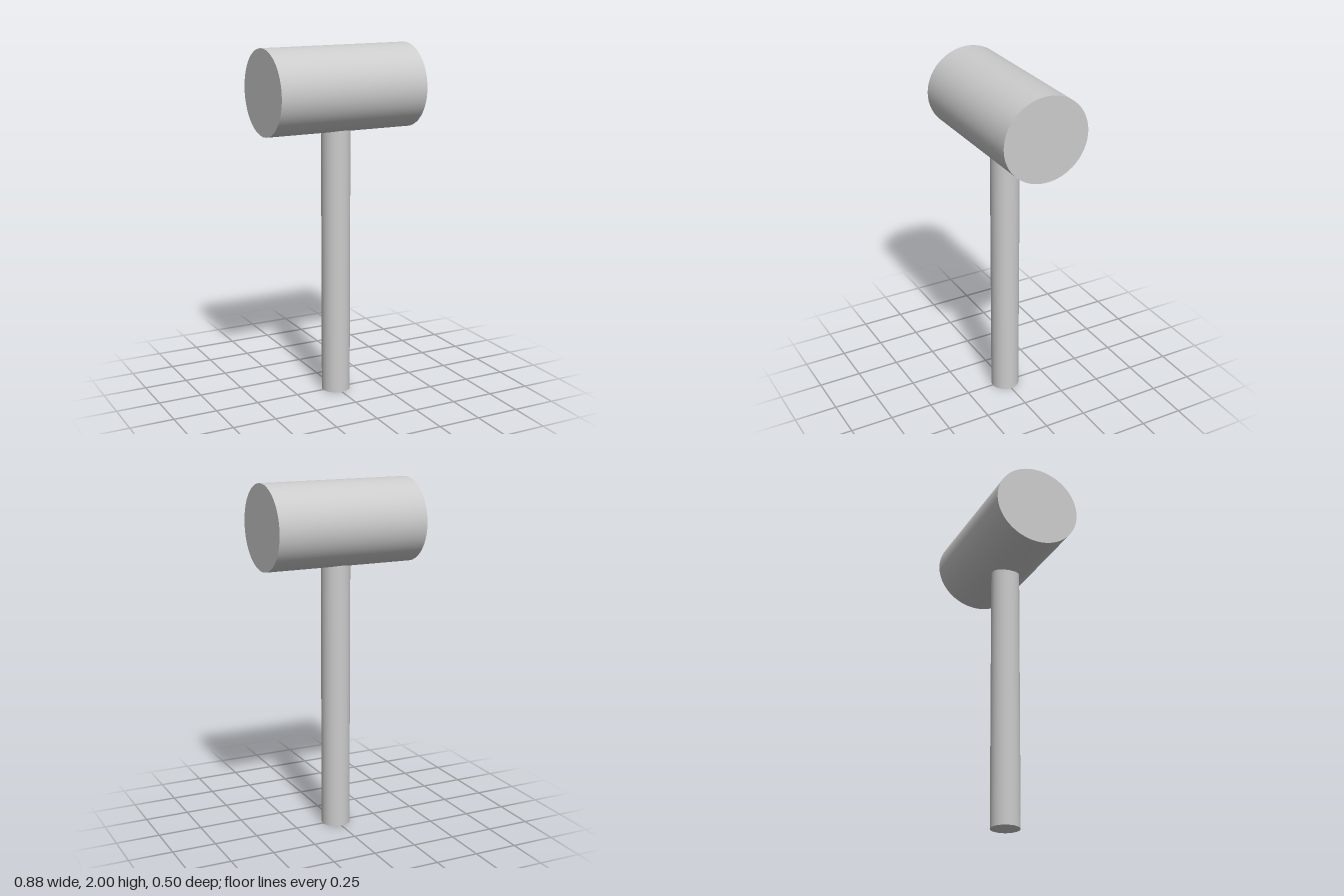
import * as THREE from 'three';

export function createModel() {
  const model = new THREE.Group();
  model.name = 'mallet';
  const material = new THREE.MeshStandardMaterial({ color: 0xcccccc });

  // Solid smooth cylinder standing on its own centre
  const addCylinder = (name, radius, length, y) => {
    const mesh = new THREE.Mesh(new THREE.CylinderGeometry(radius, radius, length, 64), material);
    mesh.name = name;
    mesh.position.y = y;
    model.add(mesh);
    return mesh;
  };

  // Handle: round shaft whose top is buried in the head
  addCylinder('handle', 0.082, 1.6, 0.8);

  // Head: lies along x, slightly flattened in height
  const headHeight = 0.475;
  const head = addCylinder('head', 0.248, 0.878, 2 - headHeight / 2);
  head.geometry.rotateZ(Math.PI / 2);
  head.geometry.scale(1, headHeight / 0.496, 1);

  return model;
}
